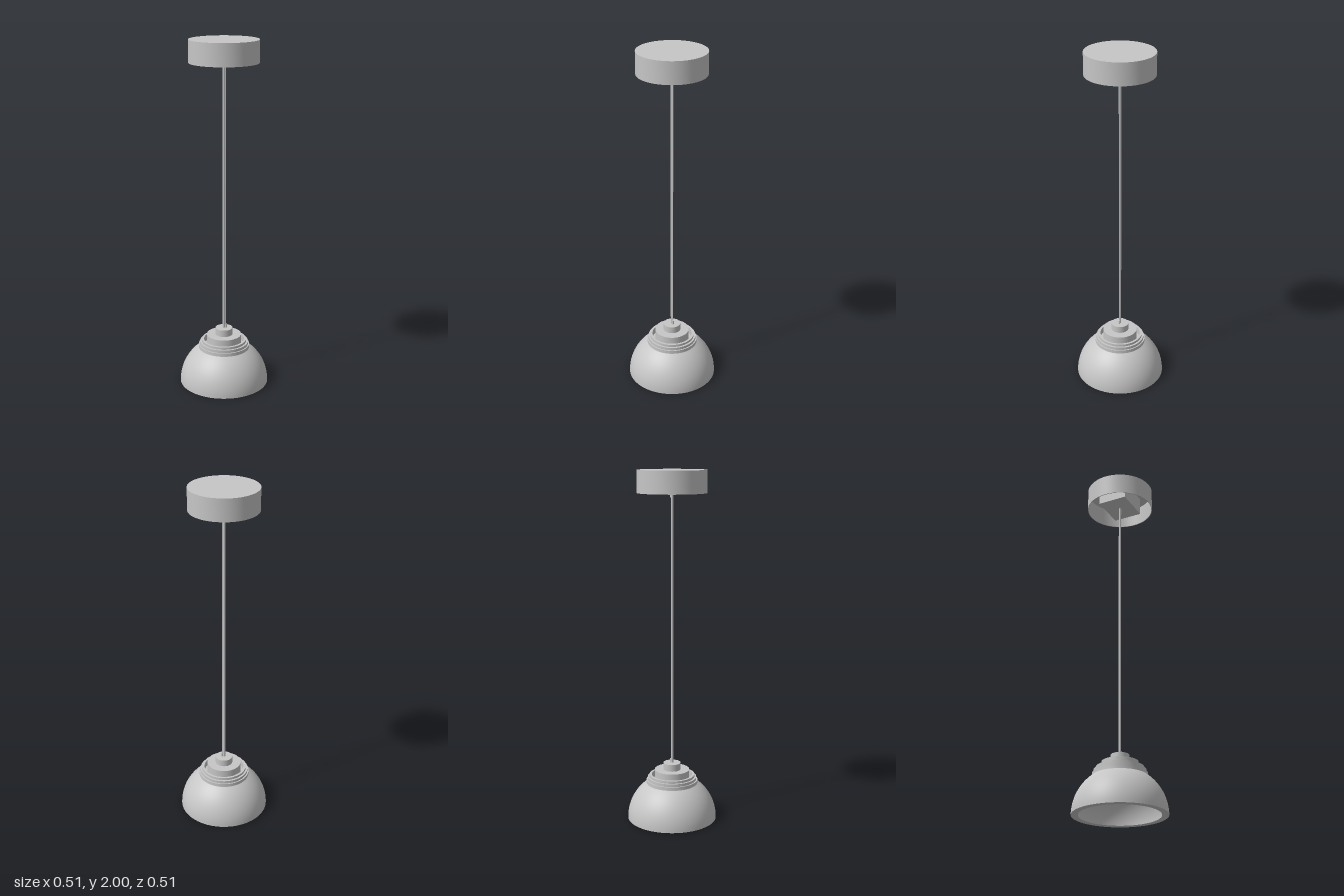
import * as THREE from 'three';
import { toCreasedNormals } from 'three/addons/utils/BufferGeometryUtils.js';

export function createModel() {
  const model = new THREE.Group();
  model.name = 'pendantLamp';
  const metal = new THREE.MeshStandardMaterial({ color: 0xc6c6c6 });
  metal.name = 'light grey metal';

  const add = (name, geometry, x = 0, y = 0, z = 0) => {
    const mesh = new THREE.Mesh(geometry, metal);
    mesh.name = name;
    mesh.position.set(x, y, z);
    model.add(mesh);
    return mesh;
  };
  // Turned part from [radius, height] pairs, listed anticlockwise
  const turned = (name, profile) => {
    const points = profile.map(([r, y]) => new THREE.Vector2(r, y));
    return add(name, toCreasedNormals(new THREE.LatheGeometry(points, 80), 0.5));
  };
  // Upright cylinder between two heights
  const rod = (name, radius, bottom, top, x = 0, sides = 64) =>
    add(name, new THREE.CylinderGeometry(radius, radius, top - bottom, sides), x, (bottom + top) / 2);
  // Quarter-dome profile points between two angles
  const arc = (radius, from, to, steps) => Array.from({ length: steps + 1 }, (_, i) => {
    const a = from + (to - from) * i / steps;
    return [radius * Math.cos(a), radius * Math.sin(a)];
  });

  // Ceiling canopy: a thin cup, open below, with a mounting bracket inside
  turned('ceilingCanopy', [
    [0, 1.99], [0.189, 1.99], [0.189, 1.875], [0.193, 1.875], [0.193, 2], [0, 2],
  ]);
  add('mountingBracket', new THREE.BoxGeometry(0.21, 0.105, 0.17), 0, 1.9375, 0);

  // Power cord with a thin support wire and its end clamps
  rod('powerCord', 0.007, 0.32, 1.89, -0.001, 16);
  rod('supportWire', 0.003, 0.32, 1.89, 0.008, 10);
  rod('upperWireClamp', 0.005, 1.85, 1.89, 0.012, 12);
  rod('lowerWireClamp', 0.005, 0.32, 0.352, 0.012, 12);

  // Thick domed shade with stepped rings around its open crown
  const outerTop = Math.asin(0.21 / 0.257);
  const innerTop = Math.acos(0.117 / 0.22);
  turned('shade', [
    ...arc(0.257, 0, outerTop, 18),
    [0.148, 0.212], [0.148, 0.23],
    [0.141, 0.23], [0.141, 0.246],
    [0.13, 0.246], [0.13, 0.26], [0.117, 0.26],
    ...arc(0.22, innerTop, 0, 16),
    [0.257, 0],
  ]);

  // Lamp holder: cap and neck, with a stepped underside
  rod('holderFloor', 0.119, 0.21, 0.222);
  rod('holderCap', 0.1, 0.2, 0.29);
  rod('holderLowerStep', 0.075, 0.19, 0.21);
  rod('holderNeck', 0.05, 0.29, 0.33);

  return model;
}
